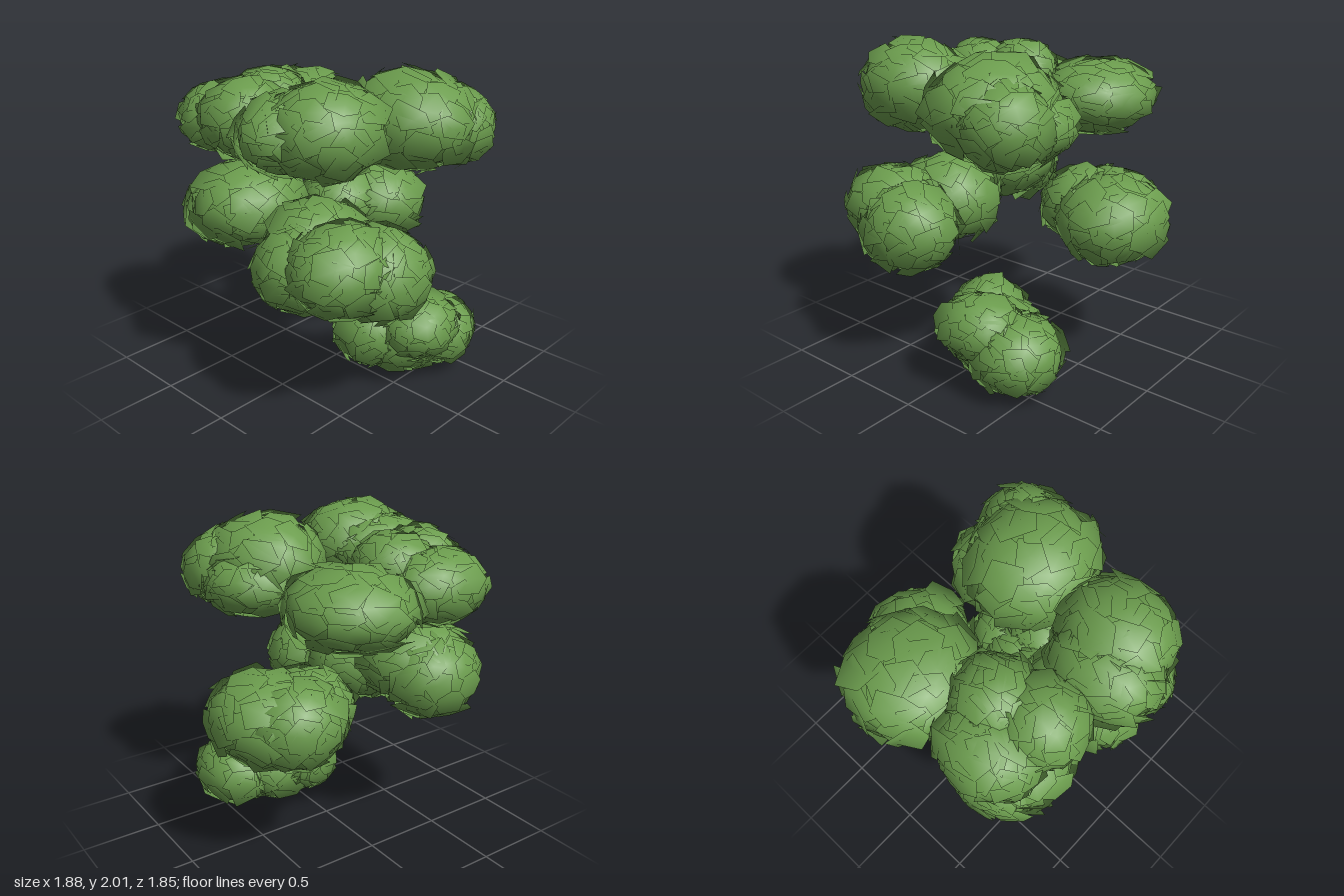
import * as THREE from 'three';
import { mergeGeometries } from 'three/addons/utils/BufferGeometryUtils.js';

// Small seeded generator so the foliage is always the same
function makeRandom(seed) {
  let s = seed;
  return () => {
    s = (s * 1664525 + 1013904223) % 4294967296;
    return s / 4294967296;
  };
}

// One leaf plate: a flat irregular polygon resting on the ellipsoid, slightly tilted
function leafPlate(blob, dir, size, rand) {
  const [cx, cy, cz, rx, ry, rz] = blob;
  const sides = 5 + Math.floor(rand() * 2);
  const geo = new THREE.CircleGeometry(size, sides, rand() * 6.28);
  const pos = geo.attributes.position;
  const nor = geo.attributes.normal;
  const turn = new THREE.Quaternion().setFromUnitVectors(new THREE.Vector3(0, 0, 1), dir);
  const tiltX = (rand() - 0.5) * 0.36;
  const tiltY = (rand() - 0.5) * 0.36;
  const lift = 0.94 + rand() * 0.03;
  const stretch = Array.from({ length: sides }, () => 0.75 + rand() * 0.5);
  for (let i = 0; i < pos.count; i++) {
    const v = new THREE.Vector3().fromBufferAttribute(pos, i);
    if (i > 0) v.multiplyScalar(stretch[(i - 1) % sides]);
    const scale = lift + v.x * tiltX + v.y * tiltY;
    v.applyQuaternion(turn).add(dir);
    const n = new THREE.Vector3(v.x / rx, v.y / ry, v.z / rz).normalize();
    pos.setXYZ(i, cx + v.x * rx * scale, cy + v.y * ry * scale, cz + v.z * rz * scale);
    nor.setXYZ(i, n.x, n.y, n.z);
  }
  return geo;
}

// A rounded tuft: inner core plus evenly spread leaf plates
function tuft(blob, rand) {
  const [cx, cy, cz, rx, ry, rz] = blob;
  const core = new THREE.SphereGeometry(1, 20, 14);
  core.scale(rx * 0.92, ry * 0.92, rz * 0.92).translate(cx, cy, cz);
  const parts = [core];
  const count = 60;
  for (let i = 0; i < count; i++) {
    const y = 1 - (2 * (i + 0.5)) / count;
    const a = i * 2.39996 + (rand() - 0.5) * 0.5;
    const r = Math.sqrt(1 - y * y);
    const dir = new THREE.Vector3(Math.cos(a) * r, y, Math.sin(a) * r);
    parts.push(leafPlate(blob, dir, 0.31 + rand() * 0.13, rand));
  }
  return mergeGeometries(parts);
}

export function createModel() {
  const model = new THREE.Group();
  model.name = 'foliage';
  const leafGreen = new THREE.MeshStandardMaterial({ color: 0x6b9c4d, side: THREE.DoubleSide });
  leafGreen.name = 'leafGreen';

  // Each tuft: centre x, y, z and radii x, y, z
  const clusters = {
    lowerCluster: [
      [0.29, 0.31, -0.01, 0.25, 0.23, 0.24],
      [0.56, 0.37, -0.17, 0.23, 0.2, 0.27],
      [0.48, 0.24, -0.4, 0.29, 0.23, 0.27],
      [0.4, 0.26, -0.18, 0.3, 0.23, 0.29],
    ],
    middleBackCluster: [
      [-0.21, 0.93, -0.58, 0.37, 0.27, 0.33],
      [-0.4, 0.93, -0.48, 0.27, 0.26, 0.29],
      [-0.27, 0.95, -0.32, 0.27, 0.24, 0.27],
    ],
    middleRightCluster: [
      [-0.34, 1.12, 0.43, 0.34, 0.26, 0.36],
      [-0.52, 1.06, 0.42, 0.26, 0.25, 0.3],
    ],
    middleLeftCluster: [
      [0.21, 0.98, 0.39, 0.31, 0.28, 0.34],
      [0.25, 0.91, 0.55, 0.28, 0.26, 0.29],
      [0.54, 0.98, 0.53, 0.29, 0.26, 0.33],
      [0.63, 0.91, 0.32, 0.28, 0.27, 0.32],
    ],
    upperBackRightCluster: [
      [-0.53, 1.6, -0.22, 0.39, 0.23, 0.37],
    ],
    upperFrontRightCluster: [
      [-0.54, 1.63, 0.38, 0.27, 0.22, 0.33],
      [-0.25, 1.68, 0.5, 0.27, 0.24, 0.27],
      [-0.34, 1.71, 0.24, 0.25, 0.22, 0.25],
    ],
    upperBackLeftCluster: [
      [0.42, 1.67, -0.18, 0.41, 0.29, 0.37],
      [0.57, 1.62, -0.38, 0.26, 0.24, 0.26],
      [0.34, 1.57, -0.3, 0.32, 0.21, 0.32],
    ],
    upperFrontLeftCluster: [
      [0.19, 1.69, 0.56, 0.27, 0.23, 0.34],
      [0.38, 1.72, 0.48, 0.32, 0.27, 0.35],
    ],
  };

  const rand = makeRandom(7);
  for (const [name, blobs] of Object.entries(clusters)) {
    const cluster = new THREE.Group();
    cluster.name = name;
    blobs.forEach((blob) => {
      const mesh = new THREE.Mesh(tuft(blob, rand), leafGreen);
      mesh.name = 'leafTuft';
      cluster.add(mesh);
    });
    model.add(cluster);
  }
  return model;
}
